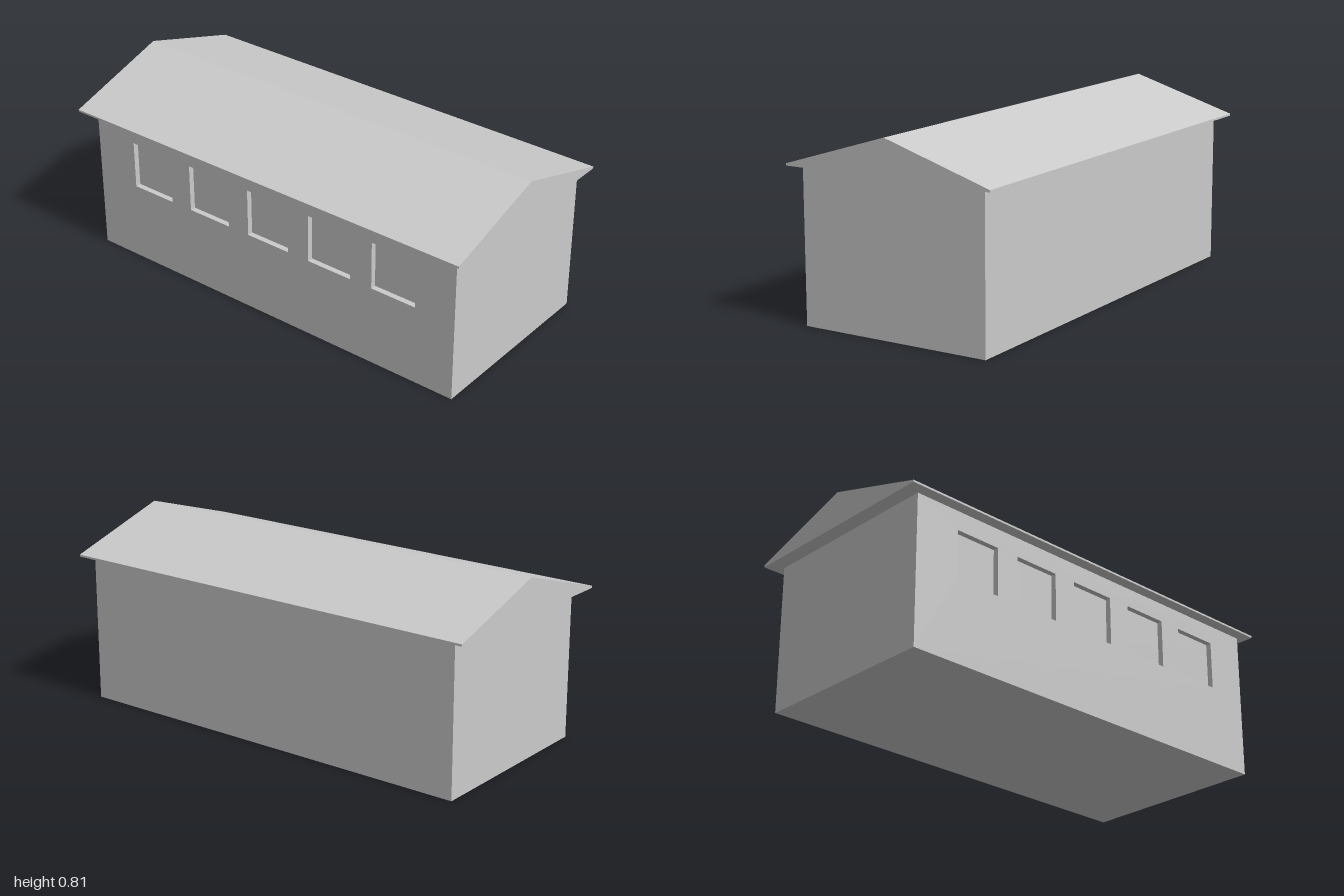
import * as THREE from 'three';

const WALL = { x0: -0.935, x1: 0.958, h: 0.656, z: 0.428 };
const RECESS = 0.025; // depth of the window recesses

// Closed outline from a list of [x, y] corners
const outline = (Type, pts) => new Type(pts.map(([x, y]) => new THREE.Vector2(x, y)));
const rect = (Type, x0, y0, x1, y1) => outline(Type, [[x0, y0], [x1, y0], [x1, y1], [x0, y1]]);

export function createModel() {
  const model = new THREE.Group();
  model.name = 'building';
  const material = new THREE.MeshStandardMaterial({ color: 0xcccccc, flatShading: true });
  const add = (name, geometry) => {
    const mesh = new THREE.Mesh(geometry, material);
    mesh.name = name;
    model.add(mesh);
    return mesh;
  };

  // Main body, stopping at the back of the window recesses
  const depth = 2 * WALL.z - RECESS;
  add('body', new THREE.BoxGeometry(WALL.x1 - WALL.x0, WALL.h, depth))
    .position.set((WALL.x0 + WALL.x1) / 2, WALL.h / 2, -RECESS / 2);

  // Front wall layer with five square window openings
  const front = rect(THREE.Shape, WALL.x0, 0, WALL.x1, WALL.h);
  for (let i = -2; i <= 2; i++) {
    const x = 0.021 + i * 0.321;
    front.holes.push(rect(THREE.Path, x - 0.107, 0.357, x + 0.107, 0.571));
  }
  add('frontWall', new THREE.ExtrudeGeometry(front, { depth: RECESS, bevelEnabled: false }))
    .position.z = WALL.z - RECESS;

  // Gable roof with thin eaves, extruded along the length
  const gable = outline(THREE.Shape, [
    [-0.479, 0.656], [0.479, 0.656], [0.479, 0.665], [0, 0.813], [-0.479, 0.665],
  ]);
  const roof = add('roof', new THREE.ExtrudeGeometry(gable, { depth: 2, bevelEnabled: false }));
  roof.rotation.y = Math.PI / 2;
  roof.position.x = -1;

  return model;
}
